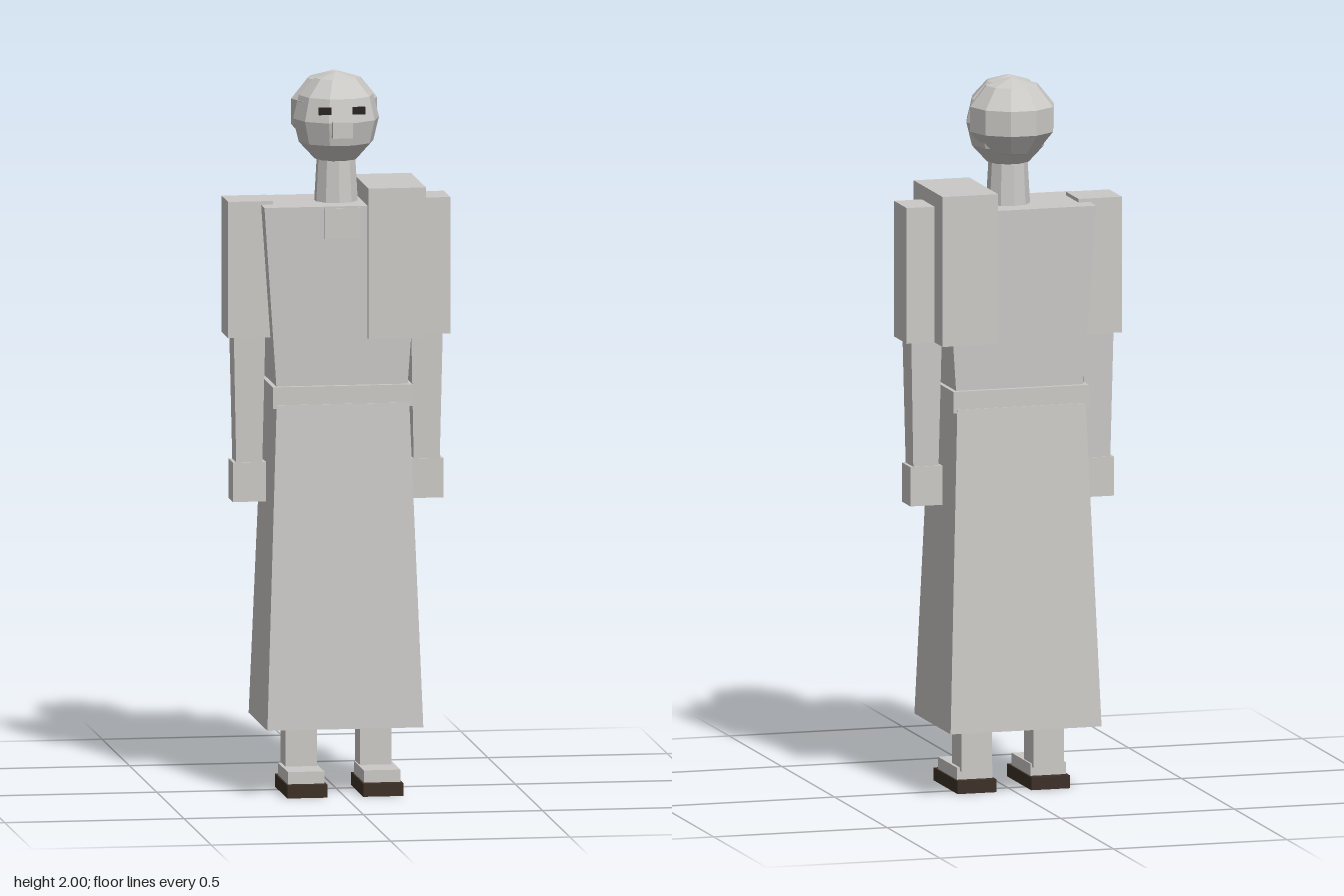
import * as THREE from 'three';

export function createModel() {
  const model = new THREE.Group();
  model.name = 'robedFigure';

  const make = (name, hex) => {
    const m = new THREE.MeshStandardMaterial({ color: hex, flatShading: true });
    m.name = name;
    return m;
  };
  const stone = make('paleStone', 0xcbc9c6);
  const leather = make('darkLeather', 0x3d3128);
  const dark = make('eyeDark', 0x2a2420);

  const add = (name, geometry, material, x, y, z, parent = model) => {
    const mesh = new THREE.Mesh(geometry, material);
    mesh.name = name;
    mesh.position.set(x, y, z);
    parent.add(mesh);
    return mesh;
  };

  // Box from y0 to y1 whose bottom and top have their own width and depth
  const block = (name, material, x, z, y0, y1, [w0, d0], [w1, d1] = [w0, d0], parent = model) => {
    const geometry = new THREE.BoxGeometry(1, y1 - y0, 1);
    const p = geometry.attributes.position;
    for (let i = 0; i < p.count; i++) {
      const top = p.getY(i) > 0;
      p.setX(i, p.getX(i) * (top ? w1 : w0));
      p.setZ(i, p.getZ(i) * (top ? d1 : d0));
    }
    geometry.computeVertexNormals();
    return add(name, geometry, material, x, (y0 + y1) / 2, z, parent);
  };

  // Robe
  block('skirt', stone, 0, 0, 0.19, 1.09, [0.435, 0.344], [0.37, 0.256]);
  block('belt', stone, 0, 0, 1.08, 1.14, [0.39, 0.25]);
  block('torso', stone, 0, 0, 1.13, 1.64, [0.365, 0.22], [0.436, 0.242]);
  block('collarPatch', stone, 0, 0.118, 1.55, 1.635, [0.1, 0.012]);
  block('shoulderDrape', stone, 0.15, 0, 1.27, 1.69, [0.16, 0.275]);

  // Arms and legs, mirrored
  for (const side of [-1, 1]) {
    const label = side > 0 ? 'left' : 'right';
    const arm = new THREE.Group();
    arm.name = label + 'Arm';
    model.add(arm);
    block('sleeve', stone, side * 0.2475, 0, 1.27, 1.65, [0.125, 0.12], undefined, arm);
    block('forearm', stone, side * 0.2475, 0, 0.9, 1.28, [0.072, 0.072], [0.088, 0.084], arm);
    block('hand', stone, side * 0.2475, 0, 0.81, 0.92, [0.092, 0.08], undefined, arm);

    const leg = new THREE.Group();
    leg.name = label + 'Leg';
    model.add(leg);
    block('shin', stone, side * 0.104, 0, 0.06, 0.22, [0.088, 0.09], undefined, leg);
    block('foot', stone, side * 0.106, 0.058, 0.035, 0.07, [0.102, 0.18], undefined, leg);
    block('sole', leather, side * 0.106, 0.058, 0, 0.036, [0.112, 0.228], undefined, leg);
  }

  // Head
  const head = new THREE.Group();
  head.name = 'head';
  model.add(head);
  add('neck', new THREE.CylinderGeometry(0.054, 0.062, 0.14, 10), stone, 0, 1.69, 0, head);
  add('skull', new THREE.SphereGeometry(0.12, 10, 6), stone, 0, 1.87, 0, head).scale.y = 0.13 / 0.12;
  add('hair', new THREE.SphereGeometry(0.126, 10, 5), stone, 0, 1.885, -0.036, head).scale.y = 0.9;
  block('nose', stone, 0, 0.11, 1.83, 1.875, [0.056, 0.04], undefined, head);
  for (const side of [-1, 1]) {
    block('eye', dark, side * 0.047, 0.1085, 1.894, 1.914, [0.035, 0.0095], undefined, head);
  }

  return model;
}
